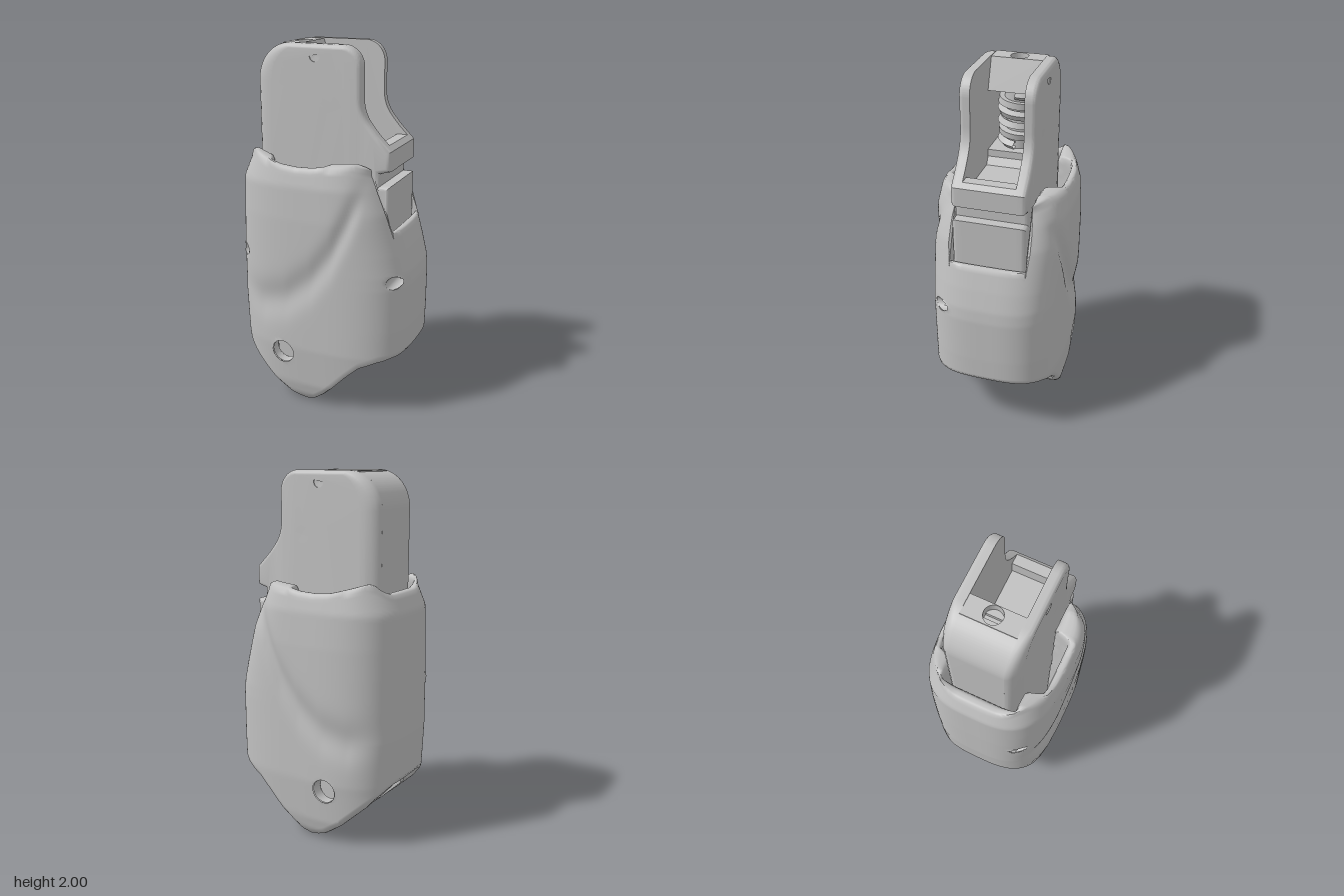
import * as THREE from 'three';
import { toCreasedNormals } from 'three/addons/utils/BufferGeometryUtils.js';

const grey = new THREE.MeshStandardMaterial({ color: 0xc0c0c0, side: THREE.DoubleSide });
grey.name = 'plain grey';

const { clamp } = THREE.MathUtils;

// Reads a value off a list of [position, value] stops.
function stops(list, t) {
  if (t <= list[0][0]) return list[0][1];
  for (let i = 1; i < list.length; i++) {
    const [t0, v0] = list[i - 1], [t1, v1] = list[i];
    if (t <= t1) return v0 + (v1 - v0) * (t - t0) / (t1 - t0);
  }
  return list[list.length - 1][1];
}

const HALF_X = 0.505, HALF_Z = 0.37, POWER = 3.2;
const topLine = [[-0.5, 1.38], [-0.46, 1.43], [-0.42, 1.44], [-0.3, 1.41], [-0.2, 1.388], [-0.1, 1.38], [0, 1.383],
  [0.15, 1.4], [0.38, 1.41], [0.45, 1.39], [0.5, 1.36]];
const bottomLine = [[-0.5, 0.335], [-0.47, 0.3], [-0.25, 0.1], [-0.15, 0.03], [-0.1, 0.01], [-0.05, 0], [0, 0.015],
  [0.06, 0.06], [0.2, 0.21], [0.28, 0.285], [0.38, 0.33], [0.47, 0.34], [0.5, 0.345]];
const scaleLeft = [[0.3, 0.97], [0.6, 1], [0.95, 0.99], [1.28, 0.97], [1.44, 0.84]];
const scaleRight = [[0.3, 0.99], [0.5, 1], [0.75, 1], [0.82, 0.985], [0.93, 0.93], [1.05, 0.86], [1.15, 0.8], [1.28, 0.68], [1.36, 0.6], [1.41, 0.53]];
const scaleDepth = [[0, 0.81], [0.05, 0.89], [0.12, 0.94], [0.35, 1], [1.1, 1], [1.28, 0.98], [1.42, 0.9]];
const grooveLine = [[-0.5, 0.64], [-0.3, 0.6], [-0.15, 0.64], [0, 0.76], [0.12, 0.92], [0.28, 1.26]];

// Holes through the sleeve: the large one on both faces, small ones in front only.
const sleeveHoles = [
  { x: -0.17, y: 0.31, r: 0.067, both: true },
  { x: -0.445, y: 0.855, r: 0.035 },
  { x: 0.445, y: 0.79, r: 0.035 },
];

function sleeveOuter(x0, z0, y) {
  const x = x0 * stops(x0 > 0 ? scaleRight : scaleLeft, y);
  const d = (y - stops(grooveLine, x)) / 0.1;
  const fade = clamp((0.34 - x) / 0.12, 0, 1) * clamp((x + 0.5) / 0.2, 0, 1);
  const z = z0 * stops(scaleDepth, y) * (1 - 0.065 * fade * Math.exp(-d * d));
  return [x, z];
}

// Half depth of the cavity: widened by a side pocket and by a flare at the lower opening.
function cavityDepth(x, z, y, low) {
  const pocket = clamp((x + 0.275) / 0.03, 0, 1) * clamp((0.095 - x) / 0.03, 0, 1) * clamp((y - low - 0.06) / 0.03, 0, 1);
  const flare = clamp((x - 0.08) / 0.04, 0, 1) * clamp((0.42 - y) / 0.03, 0, 1);
  return Math.max(0.205, Math.min(0.205 + 0.09 * Math.max(pocket, flare), Math.abs(z) - 0.04));
}

// Sleeve: closed wall loop (outside, rim, inside, lower rim) carried round a rounded section.
function sleeveGeometry() {
  const section = [];
  for (let i = 0; i < 120; i++) {
    const a = i / 120 * Math.PI * 2, c = Math.cos(a), s = Math.sin(a);
    section.push(new THREE.Vector3(HALF_X * Math.sign(c) * Math.abs(c) ** (2 / POWER), 0,
      HALF_Z * Math.sign(s) * Math.abs(s) ** (2 / POWER)));
  }
  const curve = new THREE.CatmullRomCurve3(section, true);
  curve.arcLengthDivisions = 2000;
  const cols = 184, rows = 76, split = 54, rim = 6, edge = 0.03;
  const columns = curve.getSpacedPoints(cols).slice(0, cols);
  const pos = [], index = [], inHole = [];
  const loop = 2 * (rows + rim);
  for (const { x: x0, z: z0 } of columns) {
    const notch = x0 > 0 && Math.abs(z0) < 0.222;
    const low = stops(bottomLine, x0) + edge;
    const high = (notch ? 1.05 : stops(topLine, x0)) - edge;
    // Rows share one level below the notch, so neighbouring columns line up.
    const level = j => (j <= split ? low + (1 - low) * j / split : 1 + (high - 1) * (j - split) / (rows - 1 - split));
    const put = (y, u, lift) => {
      const [ox, oz] = sleeveOuter(x0, z0, y);
      const limit = cavityDepth(ox, oz, y, low);
      let x = ox + (clamp(ox, -0.39, 0.39) - ox) * u;
      const z = oz + (clamp(oz, -limit, limit) - oz) * u;
      let py = y + lift, inside = -1;
      sleeveHoles.forEach((h, n) => {
        const dx = x - h.x, dy = py - h.y, d = Math.hypot(dx, dy);
        if (d < h.r && (h.both ? Math.abs(z) : z) > 0.15) {
          x = h.x + dx / (d || 1) * h.r;
          py = h.y + dy / (d || 1) * h.r;
          inside = n;
        }
      });
      inHole.push(inside);
      pos.push(x, py, z);
    };
    const bulge = u => edge * (1 - Math.abs(2 * u - 1) ** 4);
    for (let j = 0; j < rows; j++) put(level(j), 0, 0);
    for (let j = 1; j <= rim; j++) put(high, j / (rim + 1), bulge(j / (rim + 1)));
    for (let j = 0; j < rows; j++) put(level(rows - 1 - j), 1, 0);
    for (let j = 1; j <= rim; j++) put(low, 1 - j / (rim + 1), -bulge(j / (rim + 1)));
  }
  for (let i = 0; i < cols; i++) for (let j = 0; j < loop; j++) {
    const i2 = (i + 1) % cols, j2 = (j + 1) % loop;
    const a = i * loop + j, b = i * loop + j2, c = i2 * loop + j2, d = i2 * loop + j;
    if ([a, b, c, d].every(k => inHole[k] >= 0)) continue;
    index.push(a, b, c, a, c, d);
  }
  const g = new THREE.BufferGeometry();
  g.setAttribute('position', new THREE.Float32BufferAttribute(pos, 3));
  g.setIndex(index);
  return toCreasedNormals(g, 0.7);
}

// Hole lining whose outer end follows the sleeve face.
function holeLining(h, side, inner) {
  const g = new THREE.CylinderGeometry(h.r, h.r, 1, 32, 1, true).rotateX(Math.PI / 2);
  const p = g.attributes.position;
  for (let i = 0; i < p.count; i++) {
    const x = p.getX(i) + h.x, y = p.getY(i) + h.y;
    const face = HALF_Z * (1 - Math.abs(x / HALF_X) ** POWER) ** (1 / POWER) * stops(scaleDepth, y) - 0.006;
    p.setXYZ(i, x, y, side * (p.getZ(i) > 0 ? face : inner));
  }
  g.computeVertexNormals();
  return g;
}

const circle = (x, y, r) => new THREE.Path().absarc(x, y, r, 0, Math.PI * 2, true);
const polygon = pts => new THREE.Shape(pts.map(p => new THREE.Vector2(...p)));
const lowerEdge = [[0.385, 0.37], [0.3, 0.31], [0.2, 0.21], [0.06, 0.06], [0, 0.015], [-0.05, 0.003], [-0.1, 0.01],
  [-0.15, 0.03], [-0.25, 0.11], [-0.385, 0.24]];

// Side plate of the inner block: rounded outer edges, with a wider round down the back.
function plateGeometry() {
  const s = new THREE.Shape();
  s.moveTo(-0.385, 0.24);
  s.lineTo(-0.385, 1.8);
  s.absarc(-0.185, 1.8, 0.2, Math.PI, Math.PI / 2, true);
  s.lineTo(0.11, 2);
  s.absarc(0.11, 1.89, 0.11, Math.PI / 2, 0, true);
  s.lineTo(0.22, 1.74);
  s.bezierCurveTo(0.22, 1.64, 0.27, 1.6, 0.31, 1.55);
  for (const p of [[0.385, 1.475], [0.385, 1.37], [0.33, 1.355], [0.33, 1.29], [0.385, 1.29]]) s.lineTo(...p);
  for (const p of lowerEdge.slice(0, -1)) s.lineTo(...p);
  const b = 0.025;
  const holes = [[-0.035, 1.94, 0.03], [0.073, 1.665, 0.047], [-0.17, 0.31, 0.032]];
  s.holes = holes.map(([x, y, r]) => circle(x, y, r - b));
  const g = new THREE.ExtrudeGeometry(s, { depth: 0.125, bevelThickness: b, bevelSize: b, bevelOffset: -b, bevelSegments: 5, curveSegments: 16 });
  g.translate(0, 0, 0.05);
  const p = g.attributes.position;
  for (let i = 0; i < p.count; i++) {
    let x = p.getX(i), y = p.getY(i), z = p.getZ(i);
    // Keep hole walls straight.
    for (const [hx, hy, r] of holes) {
      const d = Math.hypot(x - hx, y - hy);
      if (d < r + 0.003) { x = hx + (x - hx) * r / d; y = hy + (y - hy) * r / d; }
    }
    // Widen the rounding along the back edge.
    const dx = x + 0.185, dy = Math.max(0, y - 1.8), reach = Math.hypot(dx, dy), inset = 0.2 - reach;
    if (dx < 0 && inset < b + 0.002) {
      const w = -dx / reach, k = (0.2 - inset * (1 + 3 * w)) / reach;
      x = -0.185 + dx * k;
      if (dy > 0) y = 1.8 + dy * k;
      if (z > 0.17) z = 0.2 - (0.2 - z) * (1 + 1.4 * w);
    }
    p.setXYZ(i, x, y, Math.max(0.14, z));
  }
  return toCreasedNormals(g, 0.6);
}

function slab(shape, z0, z1) {
  return new THREE.ExtrudeGeometry(shape, { depth: z1 - z0, bevelEnabled: false, curveSegments: 20 }).translate(0, 0, z0);
}

export function createModel() {
  const model = new THREE.Group();
  const add = (name, geometry, parent = model) => {
    const m = new THREE.Mesh(geometry, grey);
    m.name = name;
    parent.add(m);
    return m;
  };

  add('sleeve', sleeveGeometry());
  sleeveHoles.forEach(h => {
    for (const side of h.both ? [1, -1] : [1]) add('sleeveHoleLining', holeLining(h, side, h.both ? 0.29 : 0.1));
    if (h.both) return;
    add('sleeveHoleFloor', new THREE.CircleGeometry(h.r, 24)).position.set(h.x, h.y, 0.1);
    add('fastener', new THREE.CylinderGeometry(0.022, 0.022, 0.03, 24).rotateX(Math.PI / 2)).position.set(h.x, h.y, 0.115);
  });

  // Inner block: two side plates with pads at the foot.
  const padShape = polygon([[-0.385, 0.5], [0.385, 0.5], ...lowerEdge]);
  padShape.holes.push(circle(-0.17, 0.31, 0.032));
  for (const side of [1, -1]) {
    const half = new THREE.Group();
    half.name = 'sidePlate';
    add('plate', plateGeometry(), half);
    add('footPad', slab(padShape, 0.11, 0.145), half);
    half.scale.z = side;
    model.add(half);
  }

  // Core between the plates, with the channel floor, front lip and groove.
  const core = new THREE.Shape();
  core.moveTo(-0.385, 0.27);
  core.lineTo(-0.385, 1.8);
  core.absarc(-0.185, 1.8, 0.2, Math.PI, Math.PI * 0.597, true);
  for (const p of [[-0.245, 1.83], [-0.31, 1.83], [-0.31, 1.5], [-0.06, 1.5], [-0.06, 1.46], [-0.03, 1.42], [0.3, 1.42],
    [0.3, 1.5], [0.36, 1.5], [0.385, 1.475], [0.385, 1.37], [0.33, 1.355], [0.33, 1.29], [0.385, 1.29], [0.385, 0.5],
    [-0.1, 0.5], [-0.1, 0.1], [-0.235, 0.1]]) core.lineTo(...p);
  core.holes.push(circle(-0.17, 0.31, 0.032));
  add('core', toCreasedNormals(slab(core, -0.141, 0.141), 0.5));

  // Top bridge with the screw hole and its sloping front.
  const bridge = polygon([[-0.246, -0.141], [-0.139, -0.141], [-0.139, 0.141], [-0.246, 0.141]]);
  bridge.holes.push(circle(-0.19, 0, 0.048));
  add('bridge', slab(bridge, 0, 0.166).rotateX(-Math.PI / 2).translate(0, 1.83, 0));
  add('bridgeSlope', slab(polygon([[-0.14, 1.83], [-0.075, 1.83], [-0.14, 1.996]]), -0.141, 0.141));

  // Adjusting screw: slotted head, shank and helical thread.
  const screw = new THREE.Group();
  screw.name = 'screw';
  screw.position.x = -0.19;
  add('screwHead', new THREE.CylinderGeometry(0.048, 0.048, 0.1, 24), screw).position.y = 1.88;
  for (const turn of [Math.PI / 2, -Math.PI / 2]) {
    const half = new THREE.Shape().absarc(0, 0, 0.047, 0.25, Math.PI - 0.25, false);
    add('headHalf', slab(half, 0, 0.02).rotateX(-Math.PI / 2).rotateY(turn), screw).position.y = 1.93;
  }
  add('shank', new THREE.CylinderGeometry(0.078, 0.078, 0.33, 32), screw).position.y = 1.665;
  const turns = 5, helix = [];
  for (let i = 0; i <= turns * 16; i++) {
    const a = i / 16 * Math.PI * 2;
    helix.push(new THREE.Vector3(Math.cos(a) * 0.093, 1.525 + 0.285 * i / (turns * 16), Math.sin(a) * 0.093));
  }
  add('thread', toCreasedNormals(new THREE.TubeGeometry(new THREE.CatmullRomCurve3(helix), 200, 0.025, 4), 0.6), screw);
  model.add(screw);

  return model;
}
